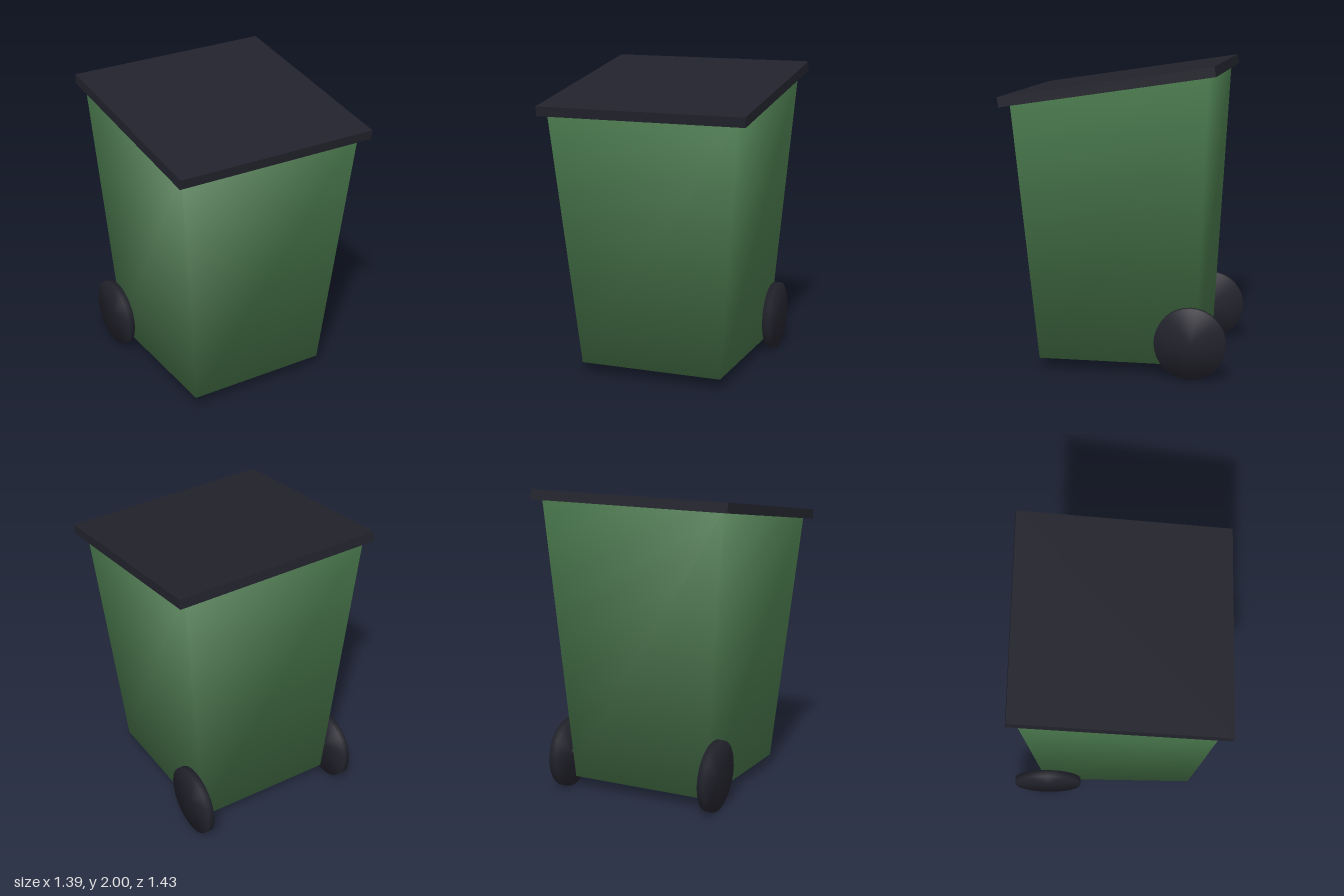
import * as THREE from 'three';

// Replace normals by a rule on each vertex position, for soft shading over corners
function softenNormals(geometry, rule) {
  const p = geometry.attributes.position, n = geometry.attributes.normal;
  const v = new THREE.Vector3();
  for (let i = 0; i < p.count; i++) {
    rule(v.fromBufferAttribute(p, i)).normalize();
    n.setXYZ(i, v.x, v.y, v.z);
  }
  return geometry;
}

// Tapered bin body with a top that slopes up towards the back
function bodyGeometry() {
  const g = new THREE.BoxGeometry(2, 2, 2);
  softenNormals(g, v => v.set(v.x, v.y > 0 ? 0.8 : -1.17, v.z));
  const p = g.attributes.position;
  for (let i = 0; i < p.count; i++) {
    const x = p.getX(i), top = p.getY(i) > 0, front = p.getZ(i) > 0;
    if (top) p.setXYZ(i, x * 0.643 - 0.008, front ? 1.765 : 1.95, front ? 0.648 : -0.602);
    else p.setXYZ(i, x * 0.482 - 0.008, 0.075, front ? 0.515 : -0.508);
  }
  return g;
}

export function createModel() {
  const green = new THREE.MeshStandardMaterial({ color: 0x47754a });
  green.name = 'binGreen';
  const dark = new THREE.MeshStandardMaterial({ color: 0x22222c });
  dark.name = 'darkPlastic';

  const model = new THREE.Group();
  model.name = 'wheelieBin';
  const add = (name, geometry, material, x, y, z) => {
    const mesh = new THREE.Mesh(geometry, material);
    mesh.name = name;
    mesh.position.set(x, y, z);
    model.add(mesh);
    return mesh;
  };

  add('body', bodyGeometry(), green, 0, 0, 0);

  // Flat lid, tilted down to the front
  add('lid', new THREE.BoxGeometry(1.386, 0.064, 1.37), dark, -0.002, 1.866, 0.032).rotation.x = 0.15;

  // Thin wheels with soft rims, the one on -x slightly skewed
  const wheelGeometry = softenNormals(
    new THREE.CylinderGeometry(0.231, 0.231, 0.043, 32),
    v => {
      const r = Math.hypot(v.x, v.z);
      return r > 0.01 ? v.set(v.x / r, Math.sign(v.y), v.z / r) : v.set(0, Math.sign(v.y), 0);
    });
  add('leftWheel', wheelGeometry, dark, 0.53, 0.234, -0.483).rotation.z = Math.PI / 2;
  add('rightWheel', wheelGeometry, dark, -0.551, 0.234, -0.485).rotation.set(0, 0.015, Math.PI / 2 + 0.025);

  // Axle
  add('axle', new THREE.CylinderGeometry(0.025, 0.025, 1.07, 12), dark, -0.01, 0.235, -0.483).rotation.z = Math.PI / 2;

  return model;
}
